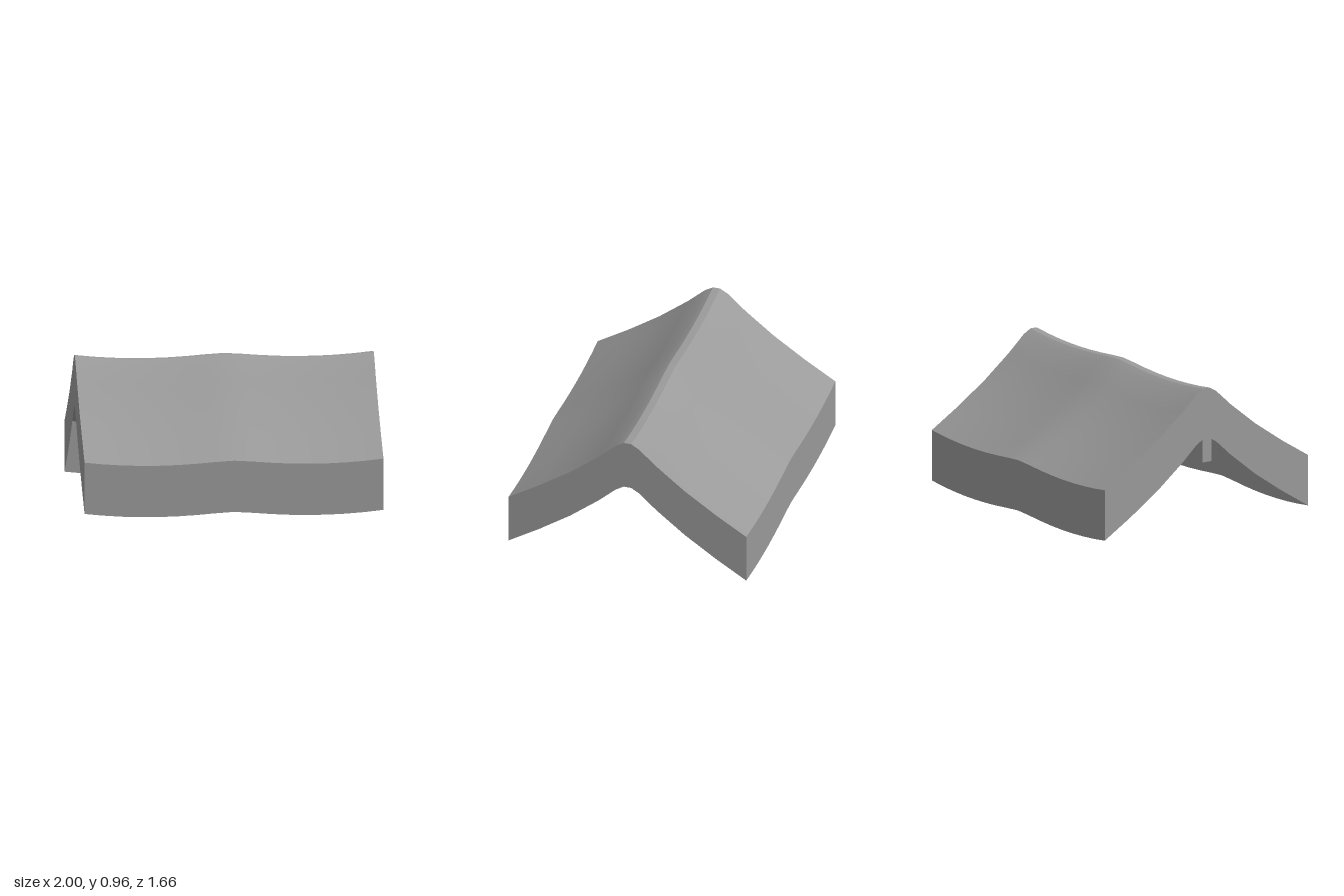
import * as THREE from 'three';
import { toCreasedNormals } from 'three/addons/utils/BufferGeometryUtils.js';

const fabric = new THREE.MeshStandardMaterial({ color: 0x9a9a9a, side: THREE.DoubleSide });
const wood = new THREE.MeshStandardMaterial({ color: 0x9a9a9a });

// Half roof profile from ridge to eave: [z, y]
const HALF = [[0.025, 0.957], [0.08, 0.925], [0.2, 0.815], [0.4, 0.655], [0.62, 0.505], [0.83, 0.375]];
const PROFILE = [...HALF.map(([z, y]) => [-z, y]).reverse(), ...HALF];
const EAVE = 0.83, EAVE_Y = 0.375, DROP = 0.347, BAY_SEGS = 8;

// The cloth hangs between supports at x = -1, 0 and 1, softly rounded over the middle one
const sag = (x) => {
  const t = (Math.hypot(x, 0.08) - 0.08) / (Math.hypot(1, 0.08) - 0.08);
  return 0.028 * 4 * t * (1 - t);
};

// Open sheet from a grid of points: point(i, j) gives [x, y, z]
function sheet(name, nu, nv, point) {
  const pos = [], idx = [];
  for (let j = 0; j <= nv; j++) for (let i = 0; i <= nu; i++) pos.push(...point(i, j));
  for (let j = 0; j < nv; j++) {
    for (let i = 0; i < nu; i++) {
      const a = j * (nu + 1) + i, b = a + 1, c = a + nu + 1, d = c + 1;
      idx.push(a, c, b, b, c, d);
    }
  }
  const geo = new THREE.BufferGeometry();
  geo.setAttribute('position', new THREE.Float32BufferAttribute(pos, 3));
  geo.setIndex(idx);
  const mesh = new THREE.Mesh(toCreasedNormals(geo, THREE.MathUtils.degToRad(25)), fabric);
  mesh.name = name;
  return mesh;
}

// Square bar between two points
function bar(name, from, to, width, height) {
  const a = new THREE.Vector3(...from), b = new THREE.Vector3(...to);
  const mesh = new THREE.Mesh(new THREE.BoxGeometry(width, height, a.distanceTo(b)), wood);
  mesh.position.copy(a).add(b).multiplyScalar(0.5);
  mesh.lookAt(b);
  mesh.name = name;
  return mesh;
}

export function createModel() {
  const model = new THREE.Group();
  model.name = 'canopy';

  // Cloth roof and its hanging skirts
  const cloth = new THREE.Group();
  cloth.name = 'cloth';
  model.add(cloth);
  const nu = BAY_SEGS * 2;
  const xAt = (i) => -1 + i / BAY_SEGS;
  cloth.add(sheet('roofCloth', nu, PROFILE.length - 1, (i, j) => {
    const [z, y] = PROFILE[j];
    return [xAt(i), y - sag(xAt(i)), z];
  }));
  for (const s of [1, -1]) {
    cloth.add(sheet(s > 0 ? 'frontSkirt' : 'backSkirt', nu, 1, (i, j) => {
      const x = s * xAt(i);
      return [x, EAVE_Y - sag(x) - j * DROP, s * EAVE];
    }));
    cloth.add(sheet(s > 0 ? 'leftGableSkirt' : 'rightGableSkirt', PROFILE.length - 1, 1, (i, j) => {
      const [z, y] = PROFILE[i];
      return [s, y - j * DROP, -s * s * s * z];
    }));
  }

  // Frame under the cloth: open-ended square posts, eave beams, rafters and ridge beam
  const frame = new THREE.Group();
  frame.name = 'frame';
  model.add(frame);
  const SPAN = 0.864, POST_Z = 0.685;
  const postGeo = new THREE.CylinderGeometry(0.053, 0.053, 0.245, 4, 1, true).rotateY(Math.PI / 4);
  const postGeometry = toCreasedNormals(postGeo, 0.5);
  for (const s of [1, -1]) {
    for (const x of [-SPAN, 0, SPAN]) {
      const post = new THREE.Mesh(postGeometry, wood);
      post.position.set(x, 0.2725, s * POST_Z);
      post.name = 'post';
      frame.add(post);
      frame.add(bar('rafter', [x, 0.385, s * POST_Z], [x, 0.89, 0], 0.06, 0.05));
    }
    frame.add(bar('eaveBeam', [-SPAN, 0.378, s * POST_Z], [SPAN, 0.378, s * POST_Z], 0.06, 0.045));
  }
  frame.add(bar('ridgeBeam', [-SPAN, 0.88, 0], [SPAN, 0.88, 0], 0.06, 0.05));

  return model;
}
